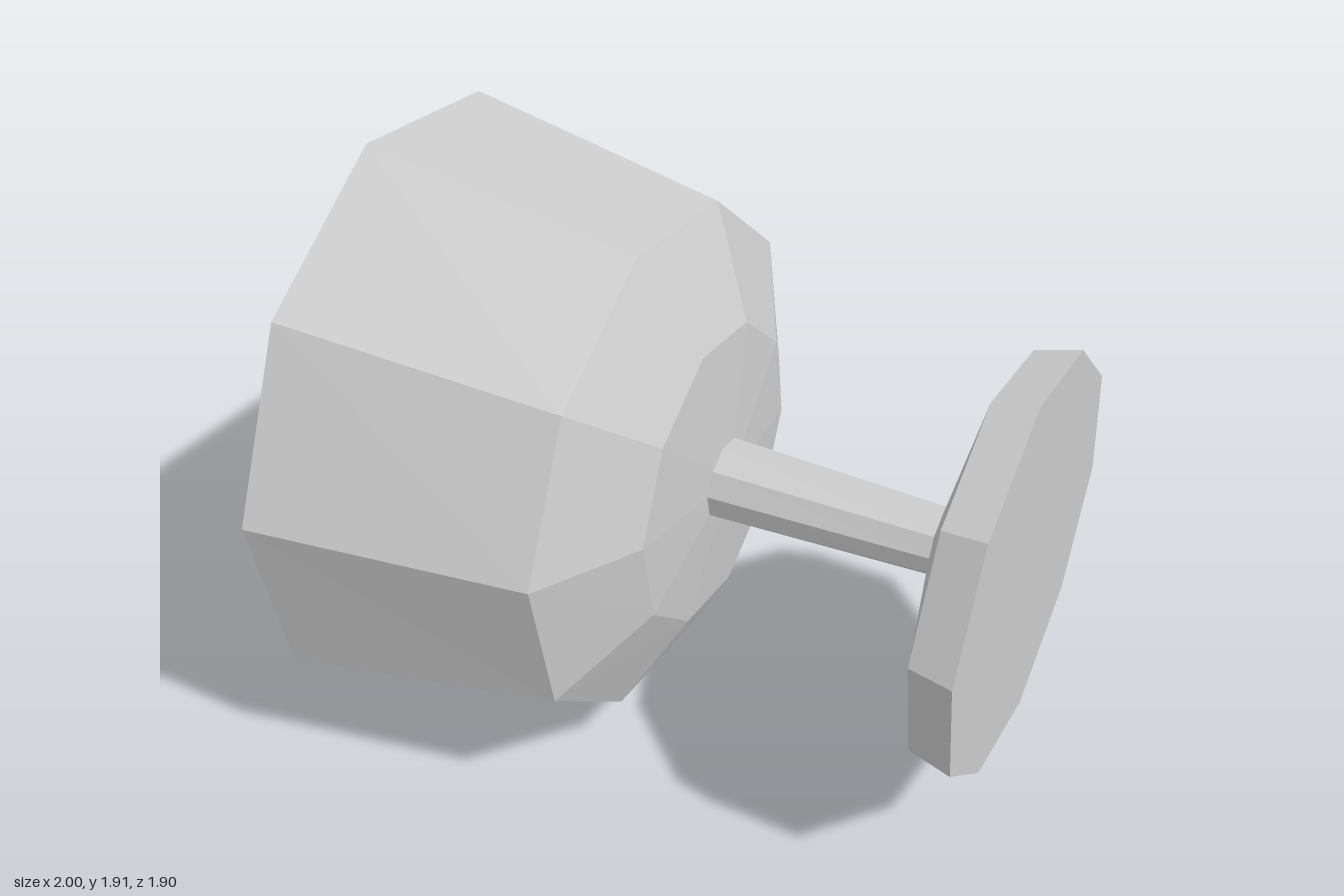
import * as THREE from 'three';

// Half of the ten-sided section as [z, y]; the other half is its point mirror
const HALF = [[0.95, 0.105], [0.7, 0.645], [0.2, 0.955], [-0.38, 0.875], [-0.83, 0.475]];
const SECTION = [...HALF, ...HALF.map(([z, y]) => [-z, -y])];

// Point on the slightly tilted axis at x, offset across it by (z, y)
function place(x, z, y) {
  return [x + 0.0105 * y, 0.955 - 0.01 * (x + 1) + y, -0.005 * (x + 1) + z];
}

// Skin a list of rings [x, zScale, yScale], with optional flat end caps
function loft(rings, capStart, capEnd) {
  const n = SECTION.length;
  const pts = rings.map(([x, sz, sy]) => SECTION.map(([z, y]) => place(x, z * sz, y * sy)));
  const pos = [];
  const tri = (a, b, c) => pos.push(...a, ...b, ...c);
  for (let k = 0; k < n; k++) {
    const j = (k + 1) % n;
    for (let i = 0; i < rings.length - 1; i++) {
      const [a, b, c, d] = [pts[i][k], pts[i][j], pts[i + 1][k], pts[i + 1][j]];
      tri(a, c, b);
      tri(b, c, d);
    }
    const last = pts.length - 1;
    if (capStart) tri(place(rings[0][0], 0, 0), pts[0][k], pts[0][j]);
    if (capEnd) tri(place(rings[last][0], 0, 0), pts[last][j], pts[last][k]);
  }
  const g = new THREE.BufferGeometry();
  g.setAttribute('position', new THREE.Float32BufferAttribute(pos, 3));
  g.computeVertexNormals();
  return g;
}

export function createModel() {
  const group = new THREE.Group();
  group.name = 'goblet';
  const grey = new THREE.MeshStandardMaterial({ color: 0xcccccc });
  grey.name = 'light grey';

  const add = (name, geometry) => {
    const mesh = new THREE.Mesh(geometry, grey);
    mesh.name = name;
    group.add(mesh);
  };

  // Wide cup with a closed mouth, narrowing to the stem
  add('bowl', loft([[-0.99, 1, 1], [-0.15, 0.858, 0.832], [0.015, 0.497, 0.497], [0.047, 0.136, 0.131]], true, false));
  // Thin tapering stem
  add('stem', loft([[0.047, 0.136, 0.131], [0.73, 0.106, 0.11]], false, false));
  // Flared foot with a flat underside
  add('foot', loft([[0.73, 0.106, 0.11], [0.86, 0.642, 0.63], [0.993, 0.677, 0.665]], false, true));

  return group;
}
